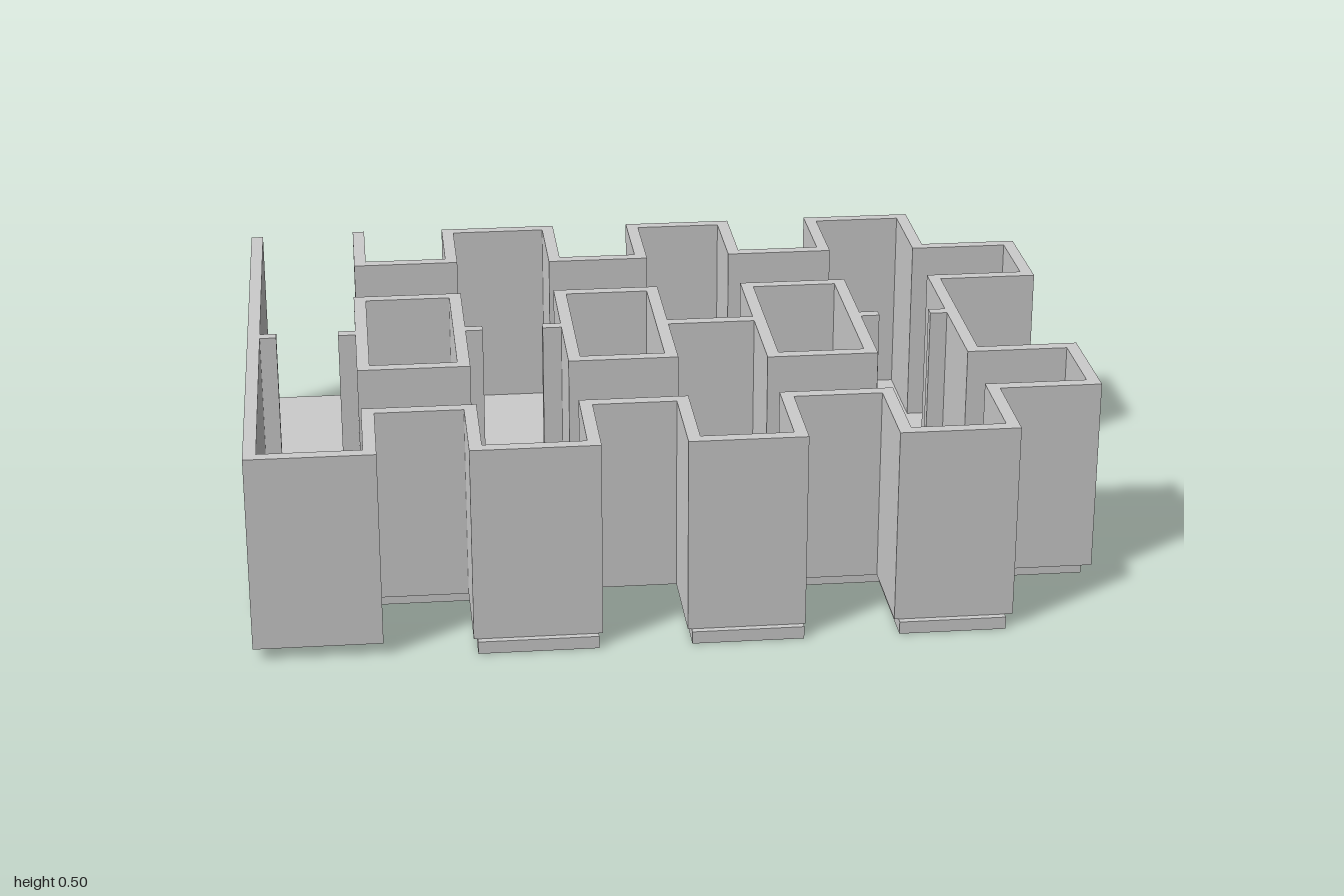
import * as THREE from 'three';

const T = 0.03;          // wall thickness
const FLOOR = 0.03;      // floor thickness
const TOP = 0.5;         // wall top

const material = new THREE.MeshStandardMaterial({ color: 0xcccccc, flatShading: true });

// Plan points [x, z] as shape points, always counter-clockwise
function toShapePoints(points) {
  const pts = points.map(([x, z]) => new THREE.Vector2(x, -z));
  return THREE.ShapeUtils.isClockWise(pts) ? pts.reverse() : pts;
}

// Upright prism from a plan outline, with optional holes
function prism(name, outline, y0, y1, holes = []) {
  const shape = new THREE.Shape(toShapePoints(outline));
  holes.forEach((h) => shape.holes.push(new THREE.Path(toShapePoints(h))));
  const geo = new THREE.ExtrudeGeometry(shape, { depth: y1 - y0, bevelEnabled: false });
  geo.rotateX(-Math.PI / 2).translate(0, y0, 0);
  const mesh = new THREE.Mesh(geo, material);
  mesh.name = name;
  return mesh;
}

const rect = (x0, z0, x1, z1) => [[x0, z0], [x1, z0], [x1, z1], [x0, z1]];

// Offset an open right-angled path to its inner side, with mitred corners
function offsetPath(path, t) {
  const normals = path.slice(1).map(([x, z], i) => [-Math.sign(z - path[i][1]), Math.sign(x - path[i][0])]);
  return path.map(([x, z], i) => {
    const used = [normals[i - 1], normals[i]].filter(Boolean);
    return [x + t * used.reduce((s, n) => s + n[0], 0), z + t * used.reduce((s, n) => s + n[1], 0)];
  });
}

export function createModel() {
  const model = new THREE.Group();
  model.name = 'mazeTile';

  // Floor plate with tabs, a deep front notch and one square hole
  const floor = [
    [-1, -0.76], [-0.73, -0.76], [-0.73, -0.49], [-0.488, -0.49],
    [-0.488, -0.76], [-0.21, -0.76], [-0.21, -0.49], [0.005, -0.49],
    [0.005, -0.76], [0.265, -0.76], [0.265, -0.49], [0.488, -0.49],
    [0.488, -0.76], [0.738, -0.76], [0.738, -0.49], [0.98, -0.49],
    [0.98, -0.24], [0.738, -0.24], [0.738, 0.237], [0.98, 0.237],
    [0.98, 0.48], [0.738, 0.48], [0.738, 0.758], [0.488, 0.758],
    [0.488, 0.48], [0.265, 0.48], [0.265, 0.758], [0.005, 0.758],
    [0.005, 0.48], [0.03, 0.48], [0.03, 0.227], [-0.232, 0.227],
    [-0.232, 0.48], [-0.21, 0.48], [-0.21, 0.758], [-0.488, 0.758],
    [-0.488, 0.48], [-1, 0.48],
  ];
  model.add(prism('floorPlate', floor, 0, FLOOR, [rect(0.03, -0.26, 0.243, -0.03)]));

  // Outer wall, running clockwise from the back opening to the left end
  const outer = [
    [-0.703, -0.753], [-0.703, -0.518], [-0.497, -0.518], [-0.497, -0.748],
    [-0.2, -0.748], [-0.2, -0.5], [-0.004, -0.5], [-0.004, -0.74],
    [0.27, -0.74], [0.27, -0.508], [0.478, -0.508], [0.478, -0.743],
    [0.757, -0.743], [0.757, -0.502], [1, -0.502], [1, -0.238],
    [0.757, -0.238], [0.757, 0.237], [1, 0.237], [1, 0.503],
    [0.757, 0.503], [0.757, 0.742], [0.478, 0.742], [0.478, 0.503],
    [0.27, 0.503], [0.27, 0.742], [-0.004, 0.742], [-0.004, 0.503],
    [-0.2, 0.503], [-0.2, 0.742], [-0.497, 0.742], [-0.497, 0.503],
    [-0.703, 0.503], [-0.703, 0.742], [-1, 0.742], [-1, -0.738],
  ];
  model.add(prism('outerWall', [...outer, ...offsetPath(outer, T).reverse()], FLOOR, TOP));

  // Three hollow wall blocks
  [[-0.738, -0.26, -0.469, 0.237], [-0.234, -0.257, 0.03, 0.229], [0.243, -0.26, 0.511, 0.252]]
    .forEach(([x0, z0, x1, z1], i) => {
      const inner = rect(x0 + T, z0 + T, x1 - T, z1 - T);
      model.add(prism(`wallBlock${i + 1}`, rect(x0, z0, x1, z1), FLOOR, TOP, [inner]));
    });

  // Cross wall between two blocks
  model.add(prism('crossWall', rect(0.03, -0.022, 0.243, 0.008), FLOOR, TOP));

  // Door jambs narrowing each passage
  [[-0.97, -0.93], [-0.78, -0.738], [-0.469, -0.427], [-0.28, -0.234], [0.511, 0.557], [0.685, 0.727]]
    .forEach(([x0, x1], i) => model.add(prism(`doorJamb${i + 1}`, rect(x0, -0.025, x1, 0.003), FLOOR, TOP)));

  return model;
}
